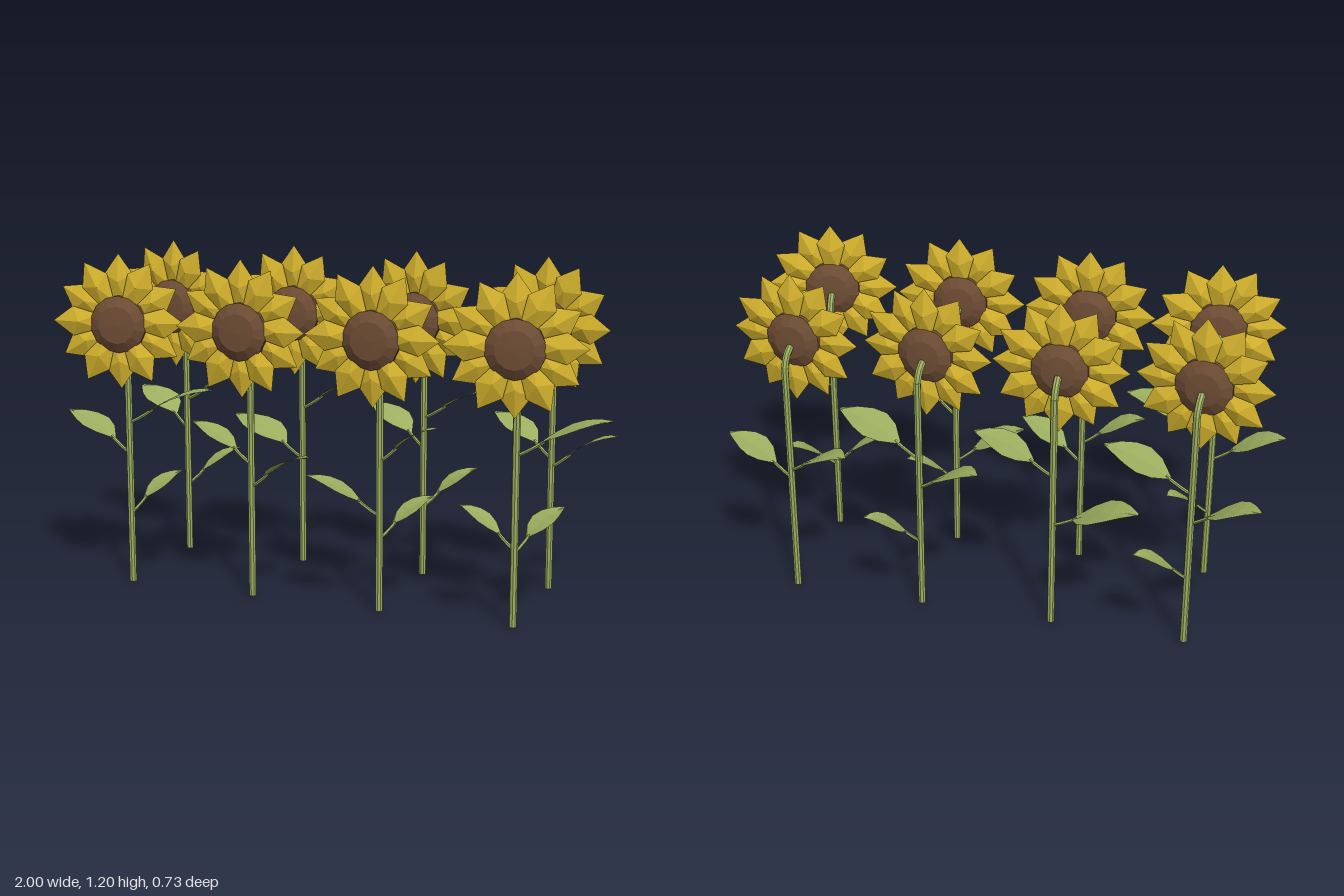
import * as THREE from 'three';
import { ConvexGeometry } from 'three/addons/geometries/ConvexGeometry.js';

function material(name, color, side = THREE.FrontSide) {
  const m = new THREE.MeshStandardMaterial({ color, flatShading: true, side });
  m.name = name;
  return m;
}

// Each plant: stem x, z, yaw, then leaves as [tip dx, tip dz, tip height]
const PLANTS = [
  [-0.74, -0.22, -0.12, [[0.31, 0.03, 0.72], [-0.24, -0.1, 0.61], [0.17, -0.11, 0.39]]],
  [-0.265, -0.22, 0, [[0.28, 0.01, 0.72], [-0.31, -0.08, 0.53]]],
  [0.21, -0.22, -0.13, [[0.3, 0.05, 0.72], [-0.235, -0.1, 0.61], [0.17, -0.11, 0.39]]],
  [0.685, -0.22, -0.13, [[0.24, 0.03, 0.58], [-0.24, -0.1, 0.61]]],
  [-0.74, 0.24, 0.17, [[0.31, -0.03, 0.72], [-0.26, -0.03, 0.61], [0.13, -0.15, 0.39]]],
  [-0.265, 0.24, 0, [[0.235, 0.05, 0.53], [-0.23, -0.01, 0.61]]],
  [0.21, 0.24, 0, [[0.21, 0.02, 0.66], [-0.245, 0.06, 0.47], [0.15, -0.13, 0.39]]],
  [0.685, 0.24, 0.16, [[0.31, -0.03, 0.72], [-0.195, -0.01, 0.4], [0.13, -0.15, 0.39]]],
];

// Arched leaf blade running along +x, flattening towards its tip
function bladeGeometry(reach, tipY) {
  const widths = [0.12, 0.75, 1, 0.85, 0.5, 0.06];
  const pos = [], idx = [];
  widths.forEach((w, i) => {
    const t = i / (widths.length - 1);
    const x = reach * (0.25 + 0.75 * t);
    const y = tipY - 0.085 * Math.pow(1 - t, 1.8);
    const half = w * reach * 0.3;
    pos.push(x, y, -half, x, y - 0.004, 0, x, y, half);
    if (i === 0) return;
    for (let k = 0; k < 2; k++) {
      const a = (i - 1) * 3 + k, b = a + 3;
      idx.push(a, a + 1, b, a + 1, b + 1, b);
    }
  });
  const g = new THREE.BufferGeometry();
  g.setAttribute('position', new THREE.Float32BufferAttribute(pos, 3));
  g.setIndex(idx);
  const flat = g.toNonIndexed();
  flat.computeVertexNormals();
  return flat;
}

export function createModel() {
  const green = material('leaf green', 0x9db060);
  const leafGreen = material('leaf green two sided', 0x9db060, THREE.DoubleSide);
  const yellow = material('petal yellow', 0xd6b42e);
  const brown = material('seed brown', 0x6f4e35);

  const mesh = (name, geometry, mat, parent) => {
    const m = new THREE.Mesh(geometry, mat);
    m.name = name;
    parent.add(m);
    return m;
  };
  const V = (x, y, z) => new THREE.Vector3(x, y, z);

  // Shared parts
  const stemGeo = new THREE.CylinderGeometry(0.013, 0.013, 0.88, 8).translate(0, 0.44, 0);
  const neckGeo = new THREE.TubeGeometry(
    new THREE.QuadraticBezierCurve3(V(0, 0.875, 0), V(0, 0.93, 0.012), V(0, 0.94, 0.062)), 4, 0.013, 8);
  const petalGeo = new ConvexGeometry([
    V(-0.025, 0.07, 0), V(0.025, 0.07, 0), V(-0.052, 0.165, 0), V(0.052, 0.165, 0),
    V(0, 0.237, 0), V(0, 0.14, 0.02), V(0, 0.14, -0.02),
  ]);
  const discProfile = [[0, -0.036], [0.06, -0.032], [0.1, -0.012], [0.1, 0.014], [0.065, 0.034], [0, 0.038]]
    .map(([r, y]) => new THREE.Vector2(r, y));
  const discGeo = new THREE.LatheGeometry(discProfile, 14).rotateX(Math.PI / 2);

  const model = new THREE.Group();
  model.name = 'sunflowerRows';

  for (const [x, z, yaw, leaves] of PLANTS) {
    const plant = new THREE.Group();
    plant.name = 'sunflower';
    plant.position.set(x, 0, z);
    model.add(plant);

    // Stem with bent neck and flower head
    const stalk = new THREE.Group();
    stalk.name = 'stalk';
    stalk.rotation.y = yaw;
    plant.add(stalk);
    mesh('stem', stemGeo, green, stalk);
    mesh('neck', neckGeo, green, stalk);

    const head = new THREE.Group();
    head.name = 'flowerHead';
    head.position.set(0, 0.96, 0.078);
    stalk.add(head);
    mesh('seedDisc', discGeo, brown, head).position.y = -0.008;
    for (let i = 0; i < 12; i++) {
      const petal = mesh('petal', petalGeo, yellow, head);
      petal.rotation.z = (i / 12) * Math.PI * 2;
      petal.position.z = i % 2 ? 0.008 : -0.008;
    }

    // Leaves on curved stalks
    for (const [dx, dz, tipY] of leaves) {
      const reach = Math.hypot(dx, dz);
      const leaf = new THREE.Group();
      leaf.name = 'leaf';
      leaf.rotation.y = Math.atan2(-dz, dx);
      plant.add(leaf);
      mesh('leafBlade', bladeGeometry(reach, tipY), leafGreen, leaf);
      const path = new THREE.QuadraticBezierCurve3(
        V(0, tipY - 0.135, 0), V(reach * 0.14, tipY - 0.115, 0), V(reach * 0.3, tipY - 0.08, 0));
      mesh('leafStalk', new THREE.TubeGeometry(path, 3, 0.006, 5), green, leaf);
    }
  }
  return model;
}
